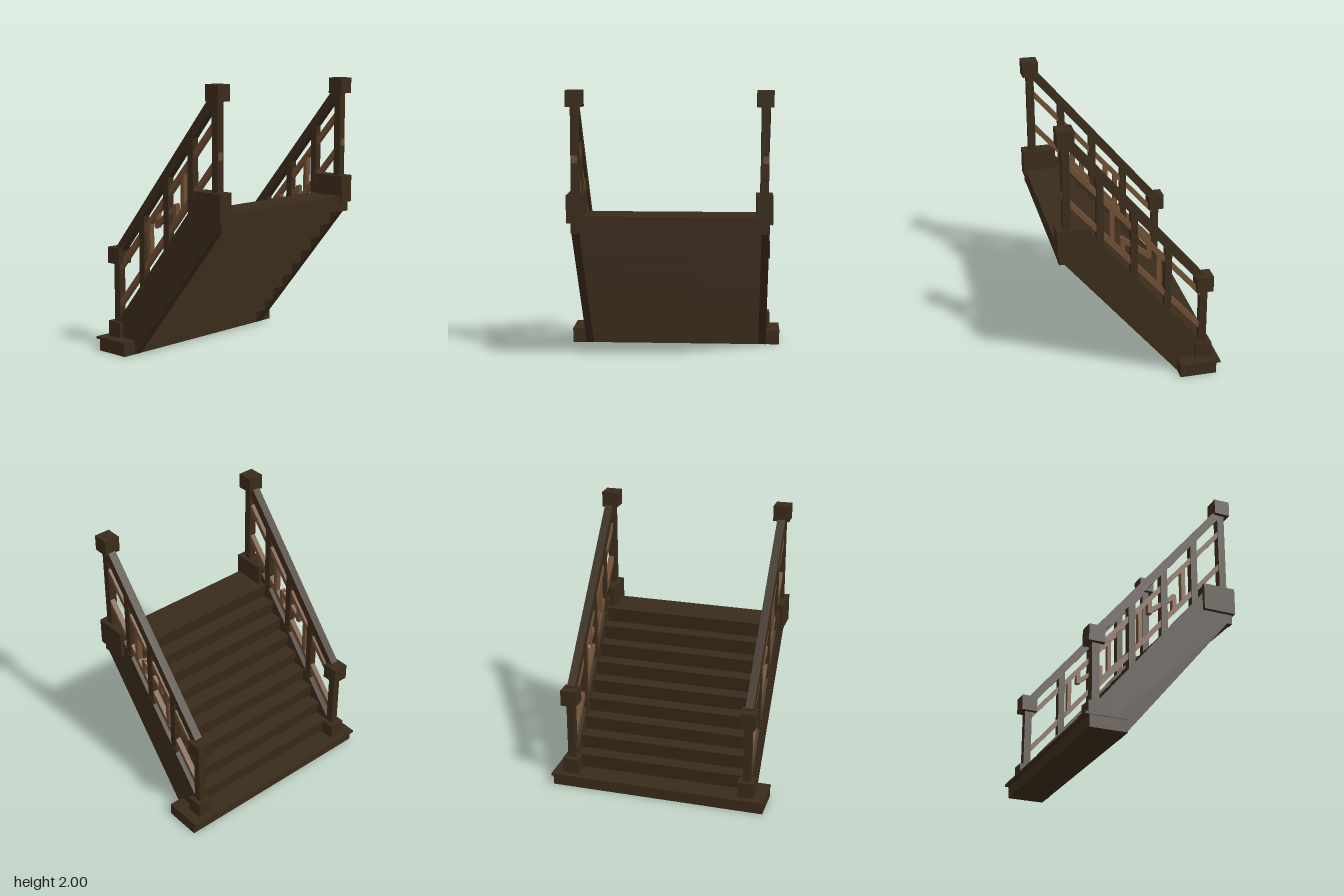
import * as THREE from 'three';

const dark = new THREE.MeshStandardMaterial({ color: 0x3a2b1a, flatShading: true });
const light = new THREE.MeshStandardMaterial({ color: 0x6e4e33, flatShading: true });

// Box given by its limits on each axis
function box(parent, name, x0, x1, y0, y1, z0, z1, mat = dark) {
  const mesh = new THREE.Mesh(new THREE.BoxGeometry(x1 - x0, y1 - y0, z1 - z0), mat);
  mesh.position.set((x0 + x1) / 2, (y0 + y1) / 2, (z0 + z1) / 2);
  mesh.name = name;
  parent.add(mesh);
}

// Outline in x and y, extruded equally to both sides of the plane at z
function board(parent, name, points, z, depth, mat = dark) {
  const shape = new THREE.Shape(points.map(([x, y]) => new THREE.Vector2(x, y)));
  const mesh = new THREE.Mesh(new THREE.ExtrudeGeometry(shape, { depth, bevelEnabled: false }), mat);
  mesh.position.z = z - depth / 2;
  mesh.name = name;
  parent.add(mesh);
}

// Sloping bar with plumb-cut ends; h is its upright thickness
function slopedBar(parent, name, xa, ya, xb, yb, h, z, depth, mat) {
  board(parent, name, [[xa, ya - h / 2], [xb, yb - h / 2], [xb, yb + h / 2], [xa, ya + h / 2]], z, depth, mat);
}

// Heights along the sloping members
const stringerTop = x => 0.25 + 1.2 * (x + 0.45);
const handrailMid = x => 0.742 + 1.2 * (x + 0.47);
const lowerBar = x => 0.36 + 1.166 * (x + 0.45);
const upperBar = x => 0.635 + 1.16 * (x + 0.45);

function createSide(z, upperZ) {
  const side = new THREE.Group();
  side.name = z > 0 ? 'leftSide' : 'rightSide';

  const block = (name, x0, x1, y0, y1, half, mat, mid = z) =>
    box(side, name, x0, x1, y0, y1, mid - half, mid + half, mat);

  board(side, 'stringer', [
    [-0.47, 0], [-0.288, 0], [0.537, 1.0], [0.575, 1.0], [0.575, 1.12],
    [0.5, 1.2], [0.34, 1.2], [-0.47, stringerTop(-0.47)],
  ], z, 0.056);

  // End posts with their foot blocks and caps
  block('lowerPostFoot', -0.54, -0.42, 0.1, 0.22, 0.059, dark);
  block('lowerPost', -0.505, -0.45, 0.22, 0.66, 0.028, dark);
  block('lowerPostCap', -0.54, -0.42, 0.655, 0.775, 0.059, dark);
  block('upperPostFoot', 0.344, 0.588, 1.07, 1.27, 0.059, dark, upperZ);
  block('upperPost', 0.487, 0.541, 1.27, 1.89, 0.029, dark, upperZ);
  block('upperPostCap', 0.455, 0.574, 1.885, 2.0, 0.059, dark, upperZ);

  // Handrail and balusters
  slopedBar(side, 'handrail', -0.47, handrailMid(-0.47), 0.487, handrailMid(0.487), 0.094, z, 0.06, dark);
  for (const x of [-0.21, 0.04, 0.282]) {
    block('baluster', x - 0.025, x + 0.025, stringerTop(x) - 0.05, handrailMid(x), 0.027, dark);
  }

  // Thin infill bars
  slopedBar(side, 'lowerInfillBar', -0.47, lowerBar(-0.47), 0.543, lowerBar(0.543), 0.053, z, 0.04, light);
  slopedBar(side, 'upperInfillBar', -0.47, upperBar(-0.47), 0.51, upperBar(0.51), 0.053, z, 0.04, light);

  // Fretwork, turned half round about the middle baluster
  for (const x of [-0.144, 0.195]) {
    block('fretUpright', x - 0.016, x + 0.016, lowerBar(x), upperBar(x), 0.02, light);
  }
  block('fretHook', -0.085, -0.053, 0.965, upperBar(-0.07), 0.02, light);
  block('fretHook', 0.105, 0.137, lowerBar(0.12), 1.15, 0.02, light);
  slopedBar(side, 'fretLink', -0.075, 0.978, 0.125, 1.137, 0.042, z, 0.038, light);
  return side;
}

export function createModel() {
  const model = new THREE.Group();
  model.name = 'staircase';

  // Base slab with a thin lip
  box(model, 'base', -0.56, -0.29, 0, 0.09, -0.803, 0.803);
  box(model, 'baseLip', -0.59, -0.297, 0.087, 0.104, -0.808, 0.808);

  // Steps with risers raked slightly under the nosing, the last one being the landing
  const steps = new THREE.Group();
  steps.name = 'steps';
  for (let k = 0; k < 9; k++) {
    const x = -0.45 + 0.093 * k;
    const y = 0.114 + 0.1115 * k;
    const last = k === 8;
    const back = last ? 0.575 : x + 0.25;
    const top = last ? 1.12 : y + 0.1115;
    board(steps, last ? 'landing' : 'step', [[x + 0.018, y], [back, y], [back, top], [x, top]], 0, 1.29);
  }
  model.add(steps);

  model.add(createSide(0.67, 0.668), createSide(-0.672, -0.664));
  return model;
}
